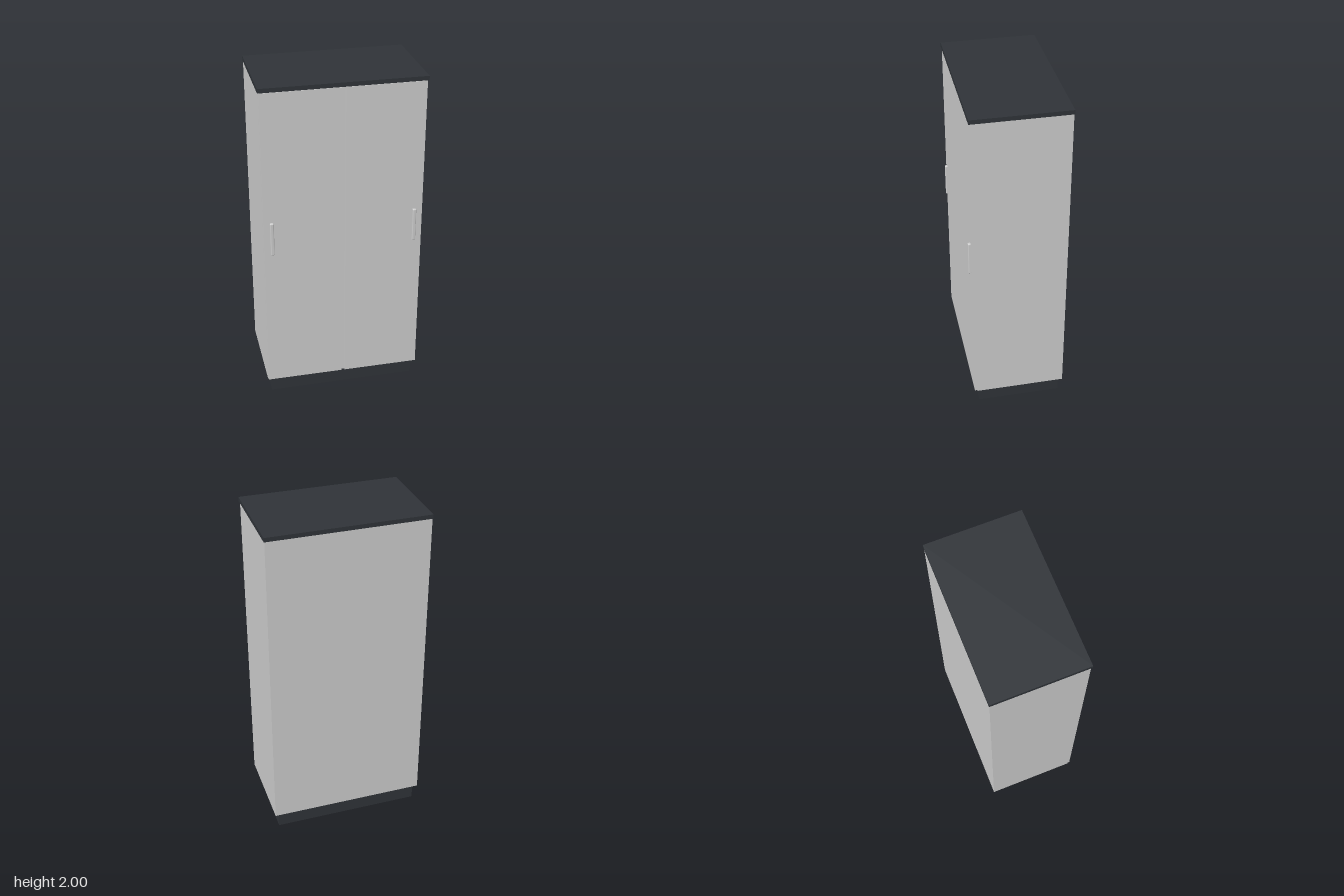
import * as THREE from 'three';
import { RoundedBoxGeometry } from 'three/addons/geometries/RoundedBoxGeometry.js';

export function createModel() {
  const cabinet = new THREE.Group();
  cabinet.name = 'cabinet';
  const grey = new THREE.MeshStandardMaterial({ color: 0xcccccc });
  const dark = new THREE.MeshStandardMaterial({ color: 0x2f3338 });

  function add(name, geometry, material, x, y, z) {
    const mesh = new THREE.Mesh(geometry, material);
    mesh.name = name;
    mesh.position.set(x, y, z);
    cabinet.add(mesh);
  }

  // Box given by its lower and upper limits on each axis
  function box(name, material, [x0, x1], [y0, y1], [z0, z1]) {
    const geometry = new THREE.BoxGeometry(x1 - x0, y1 - y0, z1 - z0);
    add(name, geometry, material, (x0 + x1) / 2, (y0 + y1) / 2, (z0 + z1) / 2);
  }

  // Recessed plinth, carcass and overhanging top panel
  box('plinth', dark, [-0.447, 0.447], [0, 0.1], [-0.262, 0.24]);
  box('body', grey, [-0.472, 0.472], [0.1, 1.975], [-0.282, 0.255]);
  box('topPanel', dark, [-0.475, 0.475], [1.975, 2], [-0.285, 0.275]);

  // Two doors with a narrow gap, each with a slim bar handle near its outer edge
  for (const [side, s] of [['left', 1], ['right', -1]]) {
    const edges = [s * 0.01, s * 0.468].sort((a, b) => a - b);
    box(side + 'Door', grey, edges, [0.103, 1.972], [0.255, 0.27]);
    const handle = new RoundedBoxGeometry(0.022, 0.205, 0.025, 2, 0.006);
    add(side + 'Handle', handle, grey, s * 0.42, 1.09, 0.2725);
  }

  return cabinet;
}
